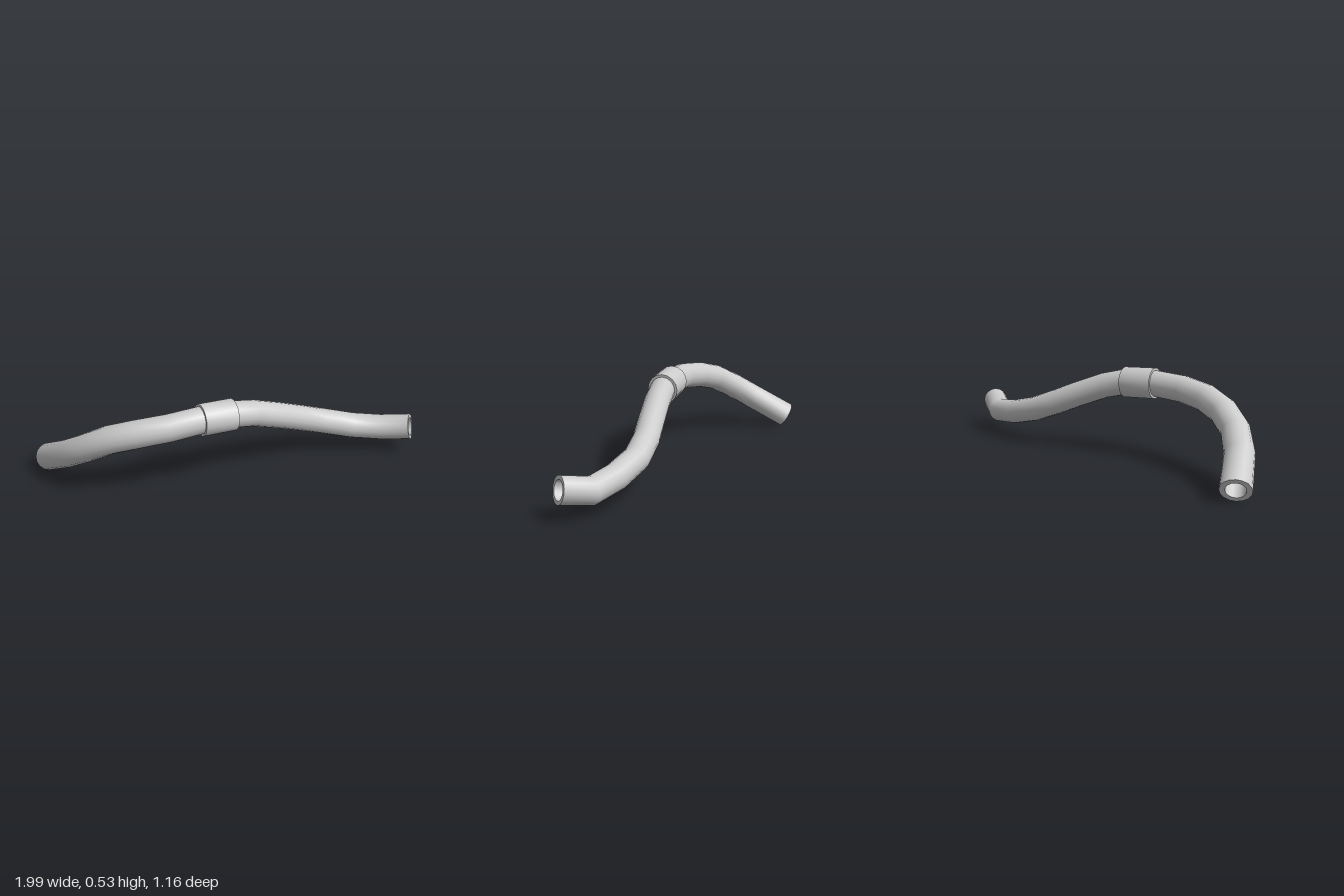
import * as THREE from 'three';

const SIDES = 16;
const UP = new THREE.Vector3(0, 1, 0);

// Centreline stations: x, y, z, half width, half height
const PATH = [
  [-0.915, 0.071, -0.54, 0.085, 0.08],
  [-0.885, 0.2, -0.315, 0.083, 0.079],
  [-0.833, 0.288, -0.18, 0.081, 0.079],
  [-0.742, 0.36, -0.075, 0.08, 0.079],
  [-0.627, 0.402, 0.02, 0.079, 0.079],
  [-0.47, 0.428, 0.102, 0.077, 0.078],
  [-0.296, 0.44, 0.144, 0.076, 0.077],
  [-0.104, 0.43, 0.176, 0.075, 0.076],
  [0.03, 0.398, 0.184, 0.075, 0.075],
  [0.2, 0.332, 0.19, 0.075, 0.075],
  [0.35, 0.269, 0.195, 0.075, 0.075],
  [0.51, 0.207, 0.222, 0.075, 0.075],
  [0.675, 0.16, 0.3, 0.075, 0.075],
  [0.83, 0.139, 0.389, 0.076, 0.075],
  [0.936, 0.175, 0.53, 0.074, 0.076],
];

// One elliptical cross-section, square to the path direction
function ring(centre, tangent, w, h) {
  const side = new THREE.Vector3().crossVectors(tangent, UP).normalize();
  const up = new THREE.Vector3().crossVectors(side, tangent).normalize();
  return Array.from({ length: SIDES }, (_, j) => {
    const a = (j / SIDES) * Math.PI * 2;
    return centre.clone().addScaledVector(side, Math.cos(a) * w).addScaledVector(up, Math.sin(a) * h);
  });
}

// Rings along a run of stations; size(station) gives [half width, half height]
function ringsAlong(stations, size) {
  const pts = stations.map((s) => new THREE.Vector3(s[0], s[1], s[2]));
  return pts.map((p, i) => {
    const tangent = new THREE.Vector3();
    if (i > 0) tangent.add(p.clone().sub(pts[i - 1]).normalize());
    if (i < pts.length - 1) tangent.add(pts[i + 1].clone().sub(p).normalize());
    return ring(p, tangent.normalize(), ...size(stations[i]));
  });
}

// Smooth skin over consecutive rings
function skin(rings) {
  const index = [];
  for (let i = 0; i < rings.length - 1; i++) {
    for (let j = 0; j < SIDES; j++) {
      const k = (j + 1) % SIDES;
      const a = i * SIDES + j, b = i * SIDES + k;
      const c = a + SIDES, d = b + SIDES;
      index.push(a, c, b, b, c, d);
    }
  }
  const geometry = new THREE.BufferGeometry().setFromPoints(rings.flat());
  geometry.setIndex(index);
  geometry.computeVertexNormals();
  return geometry;
}

// Hollow pipe: outer wall, bore and two flat lips with crisp edges
function pipe(name, stations, outerSize, innerSize, material) {
  const outer = ringsAlong(stations, outerSize);
  const inner = ringsAlong(stations, innerSize);
  const last = stations.length - 1;
  const strips = {
    Wall: outer,
    EndLip: [outer[last], inner[last]],
    Bore: [...inner].reverse(),
    StartLip: [inner[0], outer[0]],
  };
  const group = new THREE.Group();
  group.name = name;
  for (const [part, rings] of Object.entries(strips)) {
    const mesh = new THREE.Mesh(skin(rings), material);
    mesh.name = name + part;
    group.add(mesh);
  }
  return group;
}

export function createModel() {
  const material = new THREE.MeshStandardMaterial({ color: 0xcccccc });
  const model = new THREE.Group();
  model.name = 'bentHose';

  // Hose with an open bore
  model.add(pipe('hose', PATH, (s) => [s[3], s[4]], () => [0.054, 0.054], material));

  // Straight sleeve around the crest of the hose
  model.add(pipe('sleeve', PATH.slice(6, 8), () => [0.09, 0.091], () => [0.073, 0.073], material));

  return model;
}
